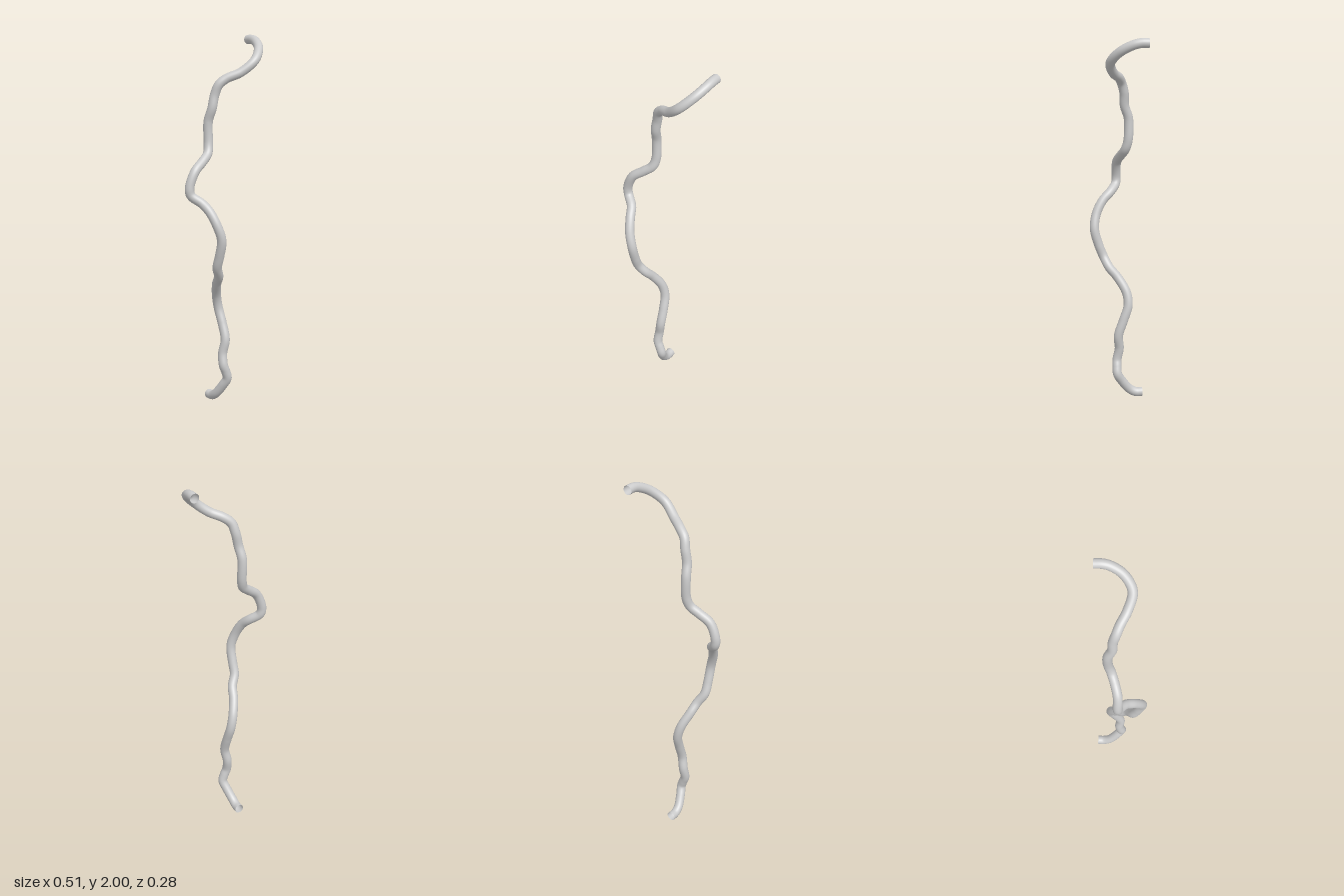
import * as THREE from 'three';

// Centre line of the bent pipe, from the lower end to the upper end: x, y, z
const PATH = [
  [-0.03, 0.026, -0.14], [-0.03, 0.026, -0.105], [-0.028, 0.045, -0.07],
  [-0.012, 0.1, -0.025], [0, 0.145, 0], [-0.012, 0.185, 0.002], [-0.025, 0.22, 0],
  [-0.022, 0.285, -0.012], [-0.009, 0.36, -0.006], [-0.01, 0.45, -0.035],
  [-0.018, 0.53, -0.06], [-0.035, 0.6, -0.052], [-0.065, 0.68, -0.005],
  [-0.08, 0.73, 0.037], [-0.109, 0.785, 0.066], [-0.111, 0.85, 0.092],
  [-0.113, 0.94, 0.115], [-0.135, 1.02, 0.103], [-0.157, 1.09, 0.066],
  [-0.178, 1.13, 0.025], [-0.222, 1.17, -0.01], [-0.229, 1.21, -0.014],
  [-0.195, 1.295, -0.014], [-0.135, 1.343, -0.032], [-0.092, 1.38, -0.05],
  [-0.078, 1.43, -0.064], [-0.077, 1.55, -0.066], [-0.067, 1.62, -0.044],
  [-0.053, 1.69, -0.04], [-0.036, 1.745, -0.025], [0, 1.776, -0.008],
  [0.065, 1.807, 0.027], [0.14, 1.868, 0.049], [0.198, 1.928, 0.005],
  [0.225, 1.964, -0.06], [0.23, 1.974, -0.1], [0.23, 1.974, -0.14],
];

export function createModel() {
  const group = new THREE.Group();
  group.name = 'bentPipe';

  // One smooth pipe, open at both ends
  const curve = new THREE.CatmullRomCurve3(PATH.map((p) => new THREE.Vector3(...p)));
  const pipe = new THREE.Mesh(
    new THREE.TubeGeometry(curve, 260, 0.025, 24, false),
    new THREE.MeshStandardMaterial({ color: 0xcccccc, side: THREE.DoubleSide }),
  );
  pipe.name = 'pipe';
  group.add(pipe);
  return group;
}
